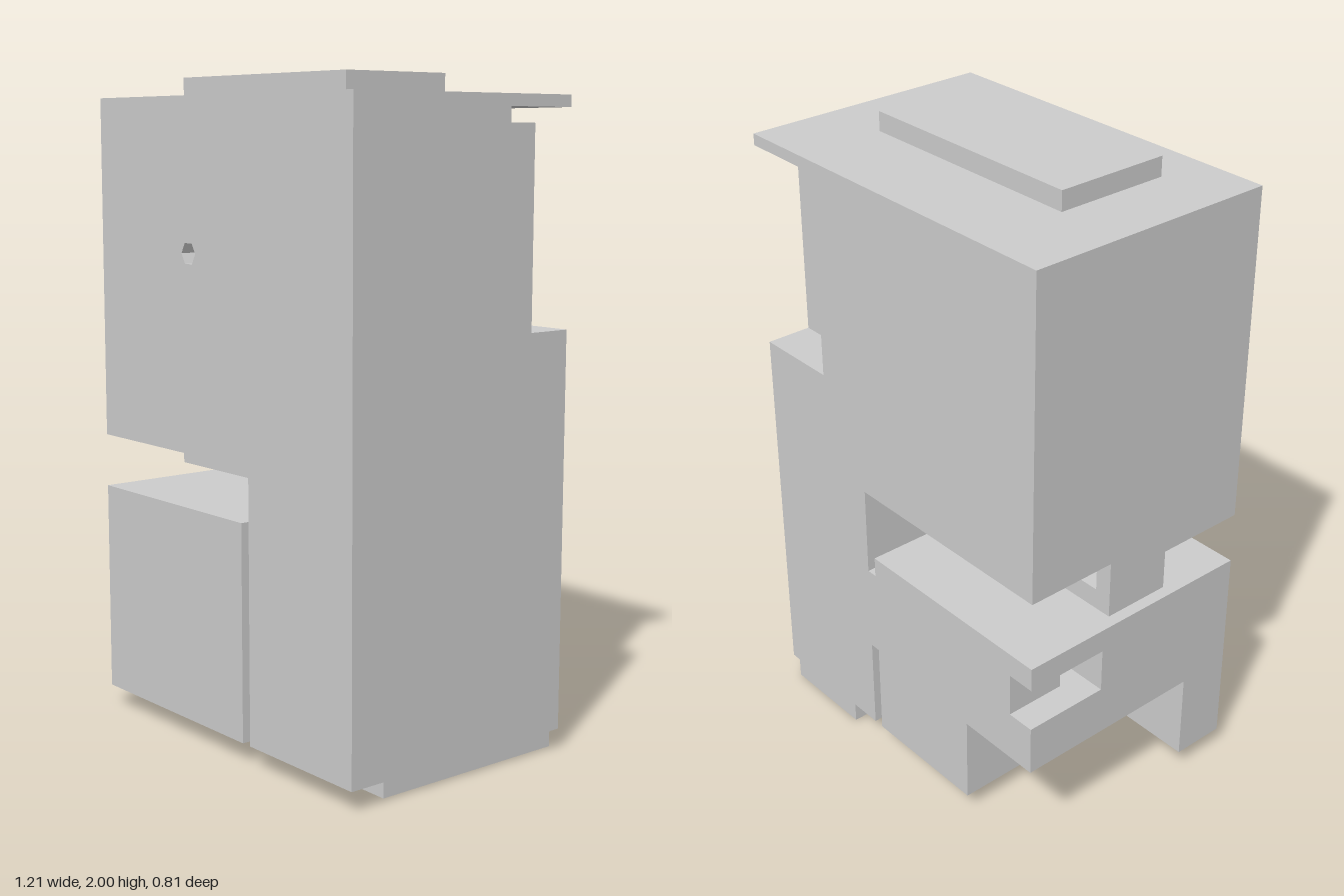
import * as THREE from 'three';

const material = new THREE.MeshStandardMaterial({ color: 0xcccccc, flatShading: true });
const W = 0.605, D = 0.405, FLOOR = 0.065, ROOF = 1.94;

// Flat outline in x/y, extruded from z0 to z1
function slab(name, points, z0, z1, hole) {
  const shape = new THREE.Shape(points.map(([x, y]) => new THREE.Vector2(x, y)));
  if (hole) shape.holes.push(new THREE.Path(hole.map(([x, y]) => new THREE.Vector2(x, y))));
  const geometry = new THREE.ExtrudeGeometry(shape, { depth: z1 - z0, bevelEnabled: false });
  geometry.translate(0, 0, z0);
  const mesh = new THREE.Mesh(geometry, material);
  mesh.name = name;
  return mesh;
}

function box(name, x0, x1, y0, y1, z0, z1) {
  const mesh = new THREE.Mesh(new THREE.BoxGeometry(x1 - x0, y1 - y0, z1 - z0), material);
  mesh.position.set((x0 + x1) / 2, (y0 + y1) / 2, (z0 + z1) / 2);
  mesh.name = name;
  return mesh;
}

// Housing outline: column on the left, stepped underside, optional notch in the side
function housingOutline(underside, notch) {
  const side = notch
    ? [[W, notch[0]], [0.325, notch[0]], [0.325, notch[1]], [W, notch[1]]] : [];
  return [[0.145, FLOOR], [W, FLOOR], ...side, [W, ROOF], [-W, ROOF], [-W, underside], [0.145, underside]];
}

// Lower block outline: leg cutout, side notch of given depth, optional pocket from below
function blockOutline({ leg = true, notch = 0, pocket = false }) {
  const points = leg ? [[-0.32, 0.35], [-0.32, FLOOR]] : [[-W, FLOOR]];
  if (pocket) points.push([-0.11, FLOOR], [-0.11, 0.25], [-0.015, 0.25], [-0.015, FLOOR]);
  points.push([0.11, FLOOR], [0.11, 0.725], [-W, 0.725]);
  if (notch) points.push([-W, 0.65], [-W + notch, 0.65], [-W + notch, 0.51], [-W, 0.51]);
  if (leg) points.push([-W, 0.35]);
  return points;
}

export function createModel() {
  const model = new THREE.Group();

  // Housing, front to back
  const housing = new THREE.Group();
  housing.name = 'housing';
  const hexHole = [];
  for (let i = 0; i < 6; i++) {
    const a = i * Math.PI / 3;
    hexHole.push([-0.14 + 0.035 * Math.cos(a), 1.485 + 0.035 * Math.sin(a)]);
  }
  const latchHole = [[-0.55, 0.83], [-0.48, 0.83], [-0.48, 0.89], [-0.55, 0.89]];
  housing.add(
    slab('housingFront', housingOutline(0.89), 0.11, D, hexHole),
    slab('tongueFront', housingOutline(0.765), -0.03, 0.11),
    slab('tongueBack', housingOutline(0.765), -0.11, -0.03, latchHole),
    slab('housingMiddle', housingOutline(0.947), -0.165, -0.11),
    slab('housingSlot', housingOutline(0.947, [1.86, 1.905]), -0.26, -0.165),
    slab('housingBack', housingOutline(0.947, [1.27, 1.905]), -D, -0.26),
  );

  // Lower block, front to back
  const block = new THREE.Group();
  block.name = 'lowerBlock';
  block.add(
    slab('blockFront', blockOutline({ leg: false }), 0.23, D),
    slab('blockMiddle', blockOutline({}), -0.13, 0.23),
    slab('blockNotch', blockOutline({ notch: 0.19 }), -0.17, -0.13),
    slab('blockNotchPocket', blockOutline({ notch: 0.19, pocket: true }), -0.21, -0.17),
    slab('blockPocket', blockOutline({ notch: 0.09, pocket: true }), -0.37, -0.21),
    slab('blockBack', blockOutline({ notch: 0.09 }), -D, -0.37),
  );

  // Small pin across the pocket
  const pin = new THREE.Mesh(new THREE.CylinderGeometry(0.03, 0.03, 0.2, 6), material);
  pin.rotation.x = Math.PI / 2;
  pin.position.set(-0.0625, 0.12, -0.27);
  pin.name = 'pocketPin';
  block.add(pin);

  model.add(
    housing, block,
    box('bridge', 0.11, 0.145, 0.375, 0.66, -D, -0.2),
    box('topPlate', -0.385, 0.385, ROOF, 2, -0.12, 0.245),
    box('footPlate', 0.255, 0.57, 0, FLOOR, -D, 0.26),
  );
  return model;
}
